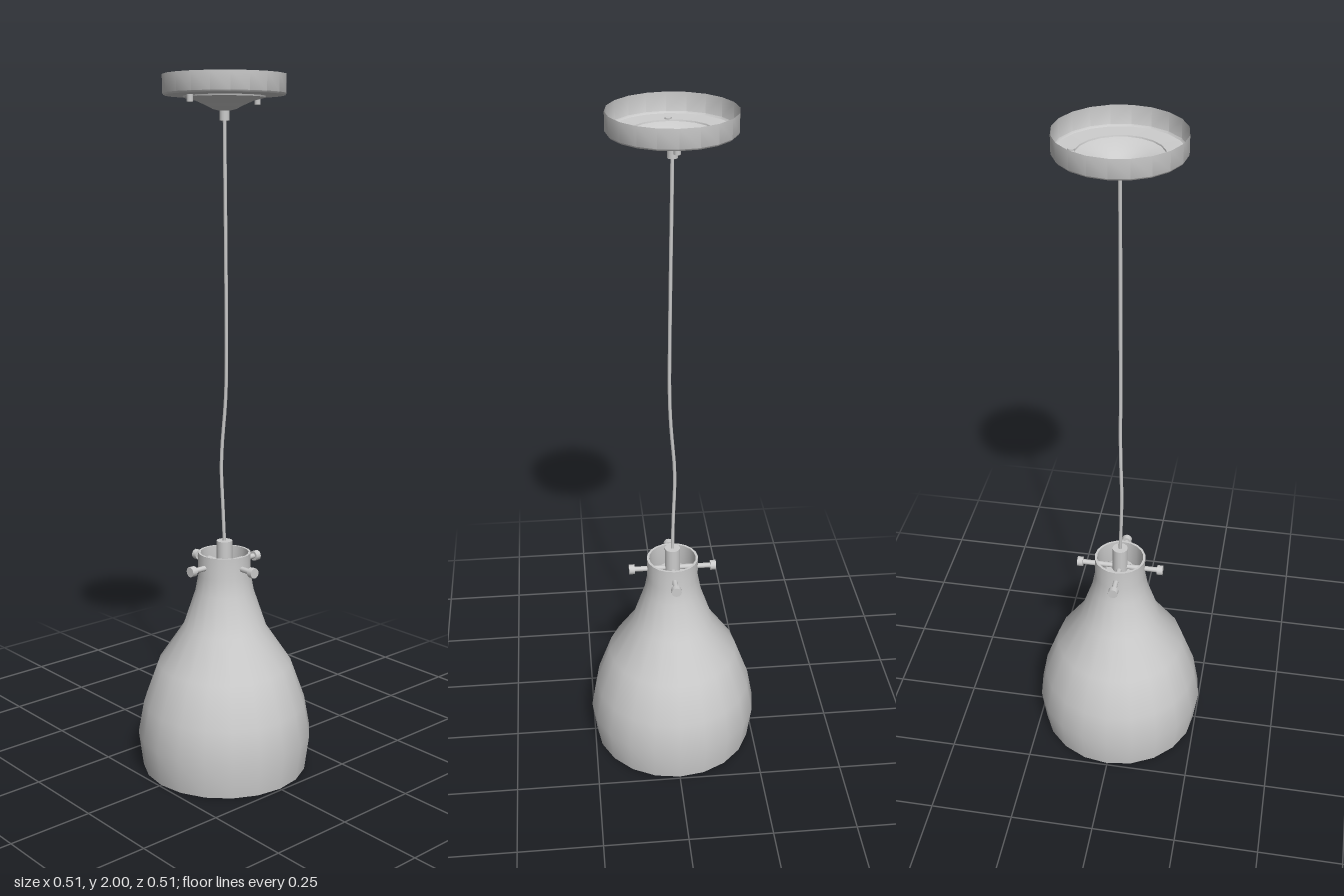
import * as THREE from 'three';
import { toCreasedNormals } from 'three/addons/utils/BufferGeometryUtils.js';

const metal = new THREE.MeshStandardMaterial({ color: 0xcccccc, side: THREE.DoubleSide });
metal.name = 'pale grey metal';
const amber = new THREE.MeshStandardMaterial({ color: 0xb8692e });
amber.name = 'amber glass';

const SIDES = 20;

function add(parent, name, geometry, material = metal) {
  const mesh = new THREE.Mesh(geometry, material);
  mesh.name = name;
  parent.add(mesh);
  return mesh;
}

// Profile points are [radius, height]
function lathe(points, sides = SIDES) {
  return new THREE.LatheGeometry(points.map(([r, y]) => new THREE.Vector2(r, y)), sides);
}

// Upright cylinder between two heights
function rod(r, y0, y1, sides = 16) {
  return new THREE.CylinderGeometry(r, r, y1 - y0, sides).translate(0, (y0 + y1) / 2, 0);
}

export function createModel() {
  const model = new THREE.Group();
  model.name = 'pendantLamp';

  // Ceiling canopy: an open-topped dish with a bell-shaped centre
  const canopy = new THREE.Group();
  canopy.name = 'canopy';
  model.add(canopy);
  const dish = lathe([
    [0.013, 1.904], [0.033, 1.909], [0.05, 1.918], [0.08, 1.931], [0.113, 1.939],
    [0.114, 1.943], [0.166, 1.945], [0.17, 1.95], [0.17, 2],
  ]);
  add(canopy, 'canopyDish', toCreasedNormals(dish, 0.7));
  add(canopy, 'cordNut', rod(0.014, 1.878, 1.908));
  for (const side of [-1, 1]) {
    add(canopy, 'canopyScrew', rod(0.009, 1.924, 1.947, 10)).position.x = side * 0.122;
  }

  // Slightly wavy hanging cord
  const path = new THREE.CatmullRomCurve3([
    [0, 1.9, 0], [0, 1.75, 0.002], [0, 1.55, 0.005], [0, 1.2, 0.008], [0, 1.1, 0.004],
    [-0.004, 0.97, -0.006], [-0.006, 0.9, -0.007], [-0.004, 0.8, -0.003], [0, 0.68, 0],
  ].map((p) => new THREE.Vector3(...p)));
  add(model, 'cord', new THREE.TubeGeometry(path, 32, 0.005, 8));

  // Bell shade: outer wall, then the inner wall offset by its thickness
  const outer = [
    [0.243, 0], [0.257, 0.105], [0.24, 0.2], [0.197, 0.32], [0.123, 0.43],
    [0.086, 0.54], [0.077, 0.59], [0.077, 0.655],
  ];
  const inner = outer.map(([r, y]) => [r - 0.007, y]).reverse();
  const wall = lathe([...outer, ...inner, outer[0]]);
  add(model, 'shade', toCreasedNormals(wall, 0.9));

  // Lamp holder with its cord grip
  add(model, 'cordGrip', rod(0.023, 0.6, 0.69));
  add(model, 'socket', rod(0.042, 0.36, 0.61));

  // Four thumbscrews through the neck of the shade
  for (let i = 0; i < 4; i++) {
    const screw = new THREE.Group();
    screw.name = 'thumbscrew';
    screw.rotation.y = (i * Math.PI) / 2;
    model.add(screw);
    const shaft = add(screw, 'screwShaft', rod(0.008, 0.02, 0.118, 10));
    const head = add(screw, 'screwHead', rod(0.015, 0.114, 0.131, 12));
    for (const part of [shaft, head]) {
      part.rotation.z = -Math.PI / 2;
      part.position.y = 0.62;
    }
  }

  // Bulb
  add(model, 'bulb', lathe([
    [0, 0.084], [0.025, 0.089], [0.047, 0.104], [0.062, 0.13], [0.066, 0.155],
    [0.062, 0.19], [0.05, 0.24], [0.037, 0.29], [0.03, 0.37],
  ], 16), amber);

  return model;
}
